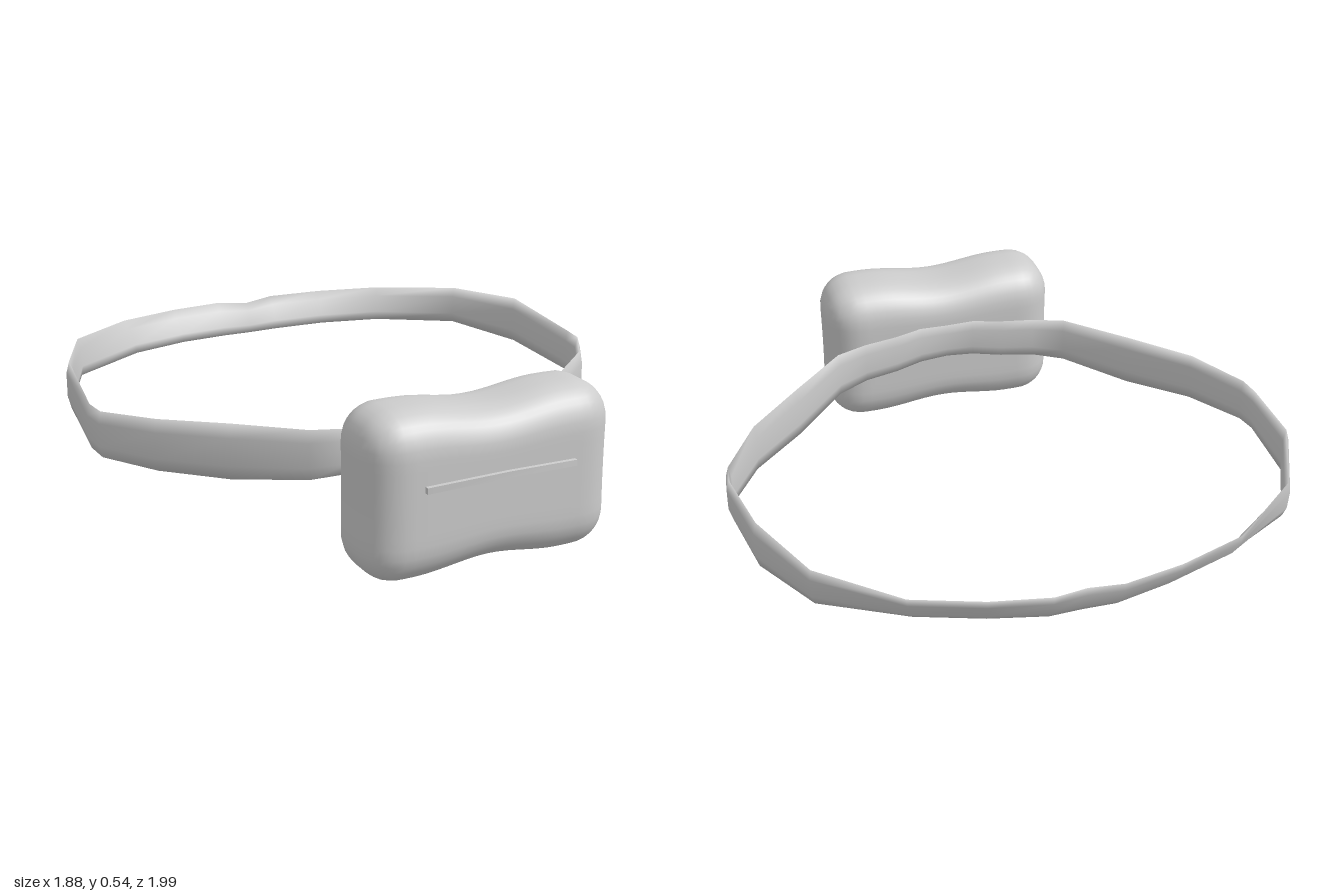
import * as THREE from 'three';
import { mergeVertices } from 'three/addons/utils/BufferGeometryUtils.js';

const grey = new THREE.MeshStandardMaterial({ color: 0xcccccc });

// Half of the strap from front centre to back centre: x, z, bottom, top, outward lean of the top edge
const STRAP = [
  [0, 0.612, 0.27, 0.4, 0], [0.1, 0.607, 0.265, 0.405, 0], [0.2, 0.575, 0.26, 0.405, 0],
  [0.32, 0.56, 0.25, 0.4, 0], [0.43, 0.52, 0.235, 0.4, 0], [0.62, 0.34, 0.208, 0.395, 0],
  [0.8, 0.17, 0.21, 0.385, 0], [0.92, -0.02, 0.212, 0.37, 0], [0.93, -0.1, 0.22, 0.372, 0],
  [0.895, -0.42, 0.255, 0.423, 0], [0.775, -0.685, 0.28, 0.415, 0.005], [0.52, -0.86, 0.285, 0.4, 0.03],
  [0.3, -0.93, 0.28, 0.395, 0.03], [0.11, -0.963, 0.272, 0.39, 0.028], [0, -0.95, 0.272, 0.382, 0.018],
];
// Lens-shaped strap section: outward offset, height fraction
const SECTION = [[0, 0], [0.011, 0.25], [0.011, 0.75], [0, 1], [-0.008, 0.75], [-0.008, 0.25]];

function strapGeometry() {
  const mirrored = STRAP.slice(1, -1).reverse().map(([x, ...rest]) => [-x, ...rest]);
  const path = [...STRAP, ...mirrored];
  const n = path.length, m = SECTION.length;
  const pos = [], index = [];
  path.forEach(([x, z, lo, hi, lean], i) => {
    const p = path[(i + n - 1) % n], q = path[(i + 1) % n];
    const tx = q[0] - p[0], tz = q[1] - p[1], len = Math.hypot(tx, tz);
    const ox = -tz / len, oz = tx / len; // outward direction
    SECTION.forEach(([off, f], j) => {
      const d = off + lean * (2 * f - 1);
      pos.push(x + ox * d, lo + (hi - lo) * f, z + oz * d);
      const i2 = (i + 1) % n, j2 = (j + 1) % m;
      const a = i * m + j, b = i2 * m + j, c = i2 * m + j2, e = i * m + j2;
      index.push(a, b, c, a, c, e);
    });
  });
  const g = new THREE.BufferGeometry();
  g.setAttribute('position', new THREE.Float32BufferAttribute(pos, 3));
  g.setIndex(index);
  g.computeVertexNormals();
  return g;
}

// Soft pouch: a box rounded off, then sagged at mid top and mid bottom
function pouchGeometry() {
  const half = new THREE.Vector3(0.43, 0.272, 0.157), r = 0.125;
  let g = new THREE.BoxGeometry(half.x * 2, half.y * 2, half.z * 2, 24, 16, 10);
  g.deleteAttribute('normal');
  g.deleteAttribute('uv');
  g = mergeVertices(g);
  const p = g.attributes.position, v = new THREE.Vector3();
  const core = half.clone().subScalar(r), low = core.clone().negate(), c = new THREE.Vector3();
  for (let i = 0; i < p.count; i++) {
    v.fromBufferAttribute(p, i);
    c.copy(v).clamp(low, core);
    v.sub(c).setLength(r).add(c);
    const u = Math.abs(v.x) / half.x, h = v.y / half.y;
    const sag = 0.5 + 0.5 * Math.cos(Math.PI * Math.min(u / 0.6, 1));
    v.y -= h * 0.027 * sag;
    v.x *= 1 + 0.015 * h * h - 0.01;
    p.setXYZ(i, v.x, v.y + 0.277, v.z + 0.792);
  }
  g.computeVertexNormals();
  return g;
}

// Zip strip bent into a shallow chevron
function zipGeometry() {
  const g = new THREE.BoxGeometry(0.52, 0.02, 0.014, 2, 1, 1);
  const p = g.attributes.position;
  for (let i = 0; i < p.count; i++) {
    const k = 1 - Math.abs(p.getX(i)) / 0.26;
    p.setY(i, p.getY(i) + 0.325 + 0.02 * k);
    p.setZ(i, p.getZ(i) + 0.957 + 0.036 * k);
  }
  g.computeVertexNormals();
  return g;
}

export function createModel() {
  const group = new THREE.Group();
  group.name = 'waistPack';
  const parts = { strap: strapGeometry(), pouch: pouchGeometry(), zip: zipGeometry() };
  for (const [name, geometry] of Object.entries(parts)) {
    const mesh = new THREE.Mesh(geometry, grey);
    mesh.name = name;
    group.add(mesh);
  }
  grey.name = 'grey';
  return group;
}
